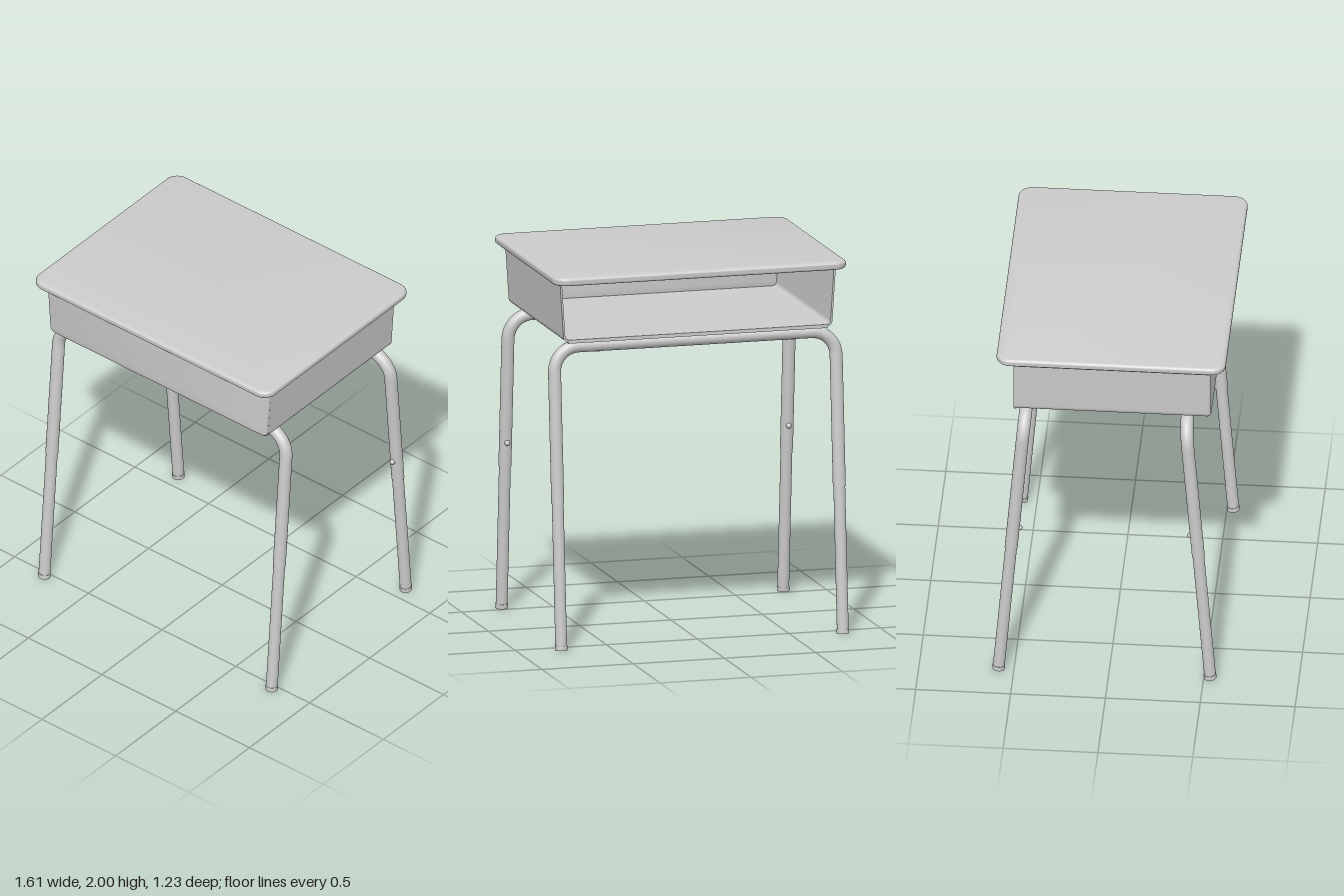
import * as THREE from 'three';
import { toCreasedNormals } from 'three/addons/utils/BufferGeometryUtils.js';

const V = (x, y, z) => new THREE.Vector3(x, y, z);

export function createModel() {
  const model = new THREE.Group();
  model.name = 'schoolDesk';
  const grey = new THREE.MeshStandardMaterial({ color: 0xcccccc });
  grey.name = 'light grey';

  const add = (name, geometry, x = 0, y = 0, z = 0, parent = model) => {
    const mesh = new THREE.Mesh(geometry, grey);
    mesh.name = name;
    mesh.position.set(x, y, z);
    parent.add(mesh);
    return mesh;
  };
  const smooth = (geometry) => toCreasedNormals(geometry, 0.7);
  const box = (name, w, h, d, x, y, z) => add(name, new THREE.BoxGeometry(w, h, d), x, y, z);

  // Cylinder running from a to b
  const rod = (name, a, b, r, parent) => {
    const dir = b.clone().sub(a);
    const mesh = add(name, new THREE.CylinderGeometry(r, r, dir.length(), 20), 0, 0, 0, parent);
    mesh.position.copy(a).add(b).multiplyScalar(0.5);
    mesh.quaternion.setFromUnitVectors(V(0, 1, 0), dir.normalize());
    return mesh;
  };

  // Desktop: rounded rectangle with a bullnose edge
  const bevel = 0.019, hw = 0.803 - bevel, hd = 0.604 - bevel, r = 0.055;
  const top = new THREE.Shape();
  top.moveTo(hw, -hd + r);
  top.absarc(hw - r, hd - r, r, 0, Math.PI / 2);
  top.absarc(-hw + r, hd - r, r, Math.PI / 2, Math.PI);
  top.absarc(-hw + r, -hd + r, r, Math.PI, Math.PI * 1.5);
  top.absarc(hw - r, -hd + r, r, Math.PI * 1.5, Math.PI * 2);
  const topGeo = new THREE.ExtrudeGeometry(top, {
    depth: 0.005, bevelThickness: bevel, bevelSize: bevel, bevelSegments: 6, curveSegments: 10,
  });
  topGeo.rotateX(-Math.PI / 2);
  add('desktop', smooth(topGeo), 0, 1.957 + bevel, 0.009);

  // Book box: tapered section, open at the back
  const topY = 1.957;
  const section = (inset, radius) => {
    const t = 0.755 - inset, b = 0.737 - inset, y = 1.64 + inset;
    const s = new THREE.Shape();
    s.moveTo(-t, topY);
    s.lineTo(-b, y + radius);
    s.quadraticCurveTo(-b, y, -b + radius, y);
    s.lineTo(b - radius, y);
    s.quadraticCurveTo(b, y, b, y + radius);
    s.lineTo(t, topY);
    return s;
  };
  const tray = new THREE.Shape([
    ...section(0, 0.035).getPoints(8),
    ...section(0.01, 0.028).getPoints(8).reverse(),
  ]);
  const trayGeo = new THREE.ExtrudeGeometry(tray, { depth: 1.025, bevelEnabled: false });
  add('bookBoxShell', smooth(trayGeo), 0, 0, -0.505);
  const panelGeo = new THREE.ExtrudeGeometry(section(0.015, 0.025), {
    depth: 0.002, bevelThickness: 0.014, bevelSize: 0.0145, bevelSegments: 4, curveSegments: 8,
  });
  // Keep the panel's upper edge level with the underside of the desktop
  const pp = panelGeo.attributes.position;
  for (let i = 0; i < pp.count; i++) pp.setY(i, Math.min(pp.getY(i), topY));
  add('bookBoxFront', smooth(panelGeo), 0, 0, 0.519);
  box('bookBoxBackLip', 1.42, 0.014, 0.014, 0, 1.638, -0.498);

  // Mounting flanges and their screws
  box('frontFlange', 1.52, 0.008, 0.03, 0, 1.953, 0.54);
  for (const side of [-1, 1]) {
    box('sideFlange', 0.03, 0.008, 1.02, side * 0.766, 1.953, 0.02);
  }
  const screw = (x, z) => {
    const m = add('flangeScrew', new THREE.SphereGeometry(0.01, 10, 8), x, 1.95, z);
    m.scale.y = 0.7;
  };
  for (const x of [-0.48, -0.17, 0.17, 0.48]) screw(x, 0.545);
  for (const side of [-1, 1]) {
    for (const z of [0.36, 0.15, -0.13, -0.32, -0.45]) screw(side * 0.768, z);
  }

  // Leg frames: bent upper tube, telescoping lower tubes, feet and lock buttons
  const barY = 1.603, legX = 0.771, bend = 0.13, k = bend * 0.5523, splitY = 0.78;
  const legFrame = (name, zTop, zFoot) => {
    const frame = new THREE.Group();
    frame.name = name;
    model.add(frame);
    const at = (x, y) => V(x, y, zTop + (zFoot - zTop) * (1 - y / barY));
    const path = new THREE.CurvePath();
    path.add(new THREE.LineCurve3(at(-legX, splitY), at(-legX, barY - bend)));
    path.add(new THREE.CubicBezierCurve3(at(-legX, barY - bend), at(-legX, barY - bend + k),
      at(-legX + bend - k, barY), at(-legX + bend, barY)));
    path.add(new THREE.LineCurve3(at(-legX + bend, barY), at(legX - bend, barY)));
    path.add(new THREE.CubicBezierCurve3(at(legX - bend, barY), at(legX - bend + k, barY),
      at(legX, barY - bend + k), at(legX, barY - bend)));
    path.add(new THREE.LineCurve3(at(legX, barY - bend), at(legX, splitY)));
    add('upperTube', new THREE.TubeGeometry(path, 140, 0.034, 20), 0, 0, 0, frame);
    for (const side of [-1, 1]) {
      const x = side * legX;
      rod('upperTubeEnd', at(x, splitY), at(x, splitY + 0.01), 0.034, frame);
      rod('lowerTube', at(x, 0.01), at(x, splitY + 0.05), 0.031, frame);
      rod('footCap', at(x, 0.003), at(x, 0.028), 0.033, frame);
      const p = at(x, 0.91);
      add('lockButton', new THREE.SphereGeometry(0.015, 12, 8), x, p.y,
        p.z - Math.sign(zTop) * 0.034, frame);
    }
  };
  legFrame('frontLegs', 0.405, 0.535);
  legFrame('backLegs', -0.445, -0.582);

  // Hat-section rails joining the two frames under the box
  const rail = new THREE.Shape([
    [-0.045, 1.64], [-0.025, 1.64], [-0.018, 1.574], [0.018, 1.574], [0.025, 1.64], [0.045, 1.64],
    [0.045, 1.632], [0.033, 1.632], [0.026, 1.566], [-0.026, 1.566], [-0.033, 1.632], [-0.045, 1.632],
  ].map(([x, y]) => new THREE.Vector2(x, y)));
  for (const side of [-1, 1]) {
    add('crossRail', new THREE.ExtrudeGeometry(rail, { depth: 0.84, bevelEnabled: false }),
      side * 0.525, 0, -0.44);
  }
  return model;
}
